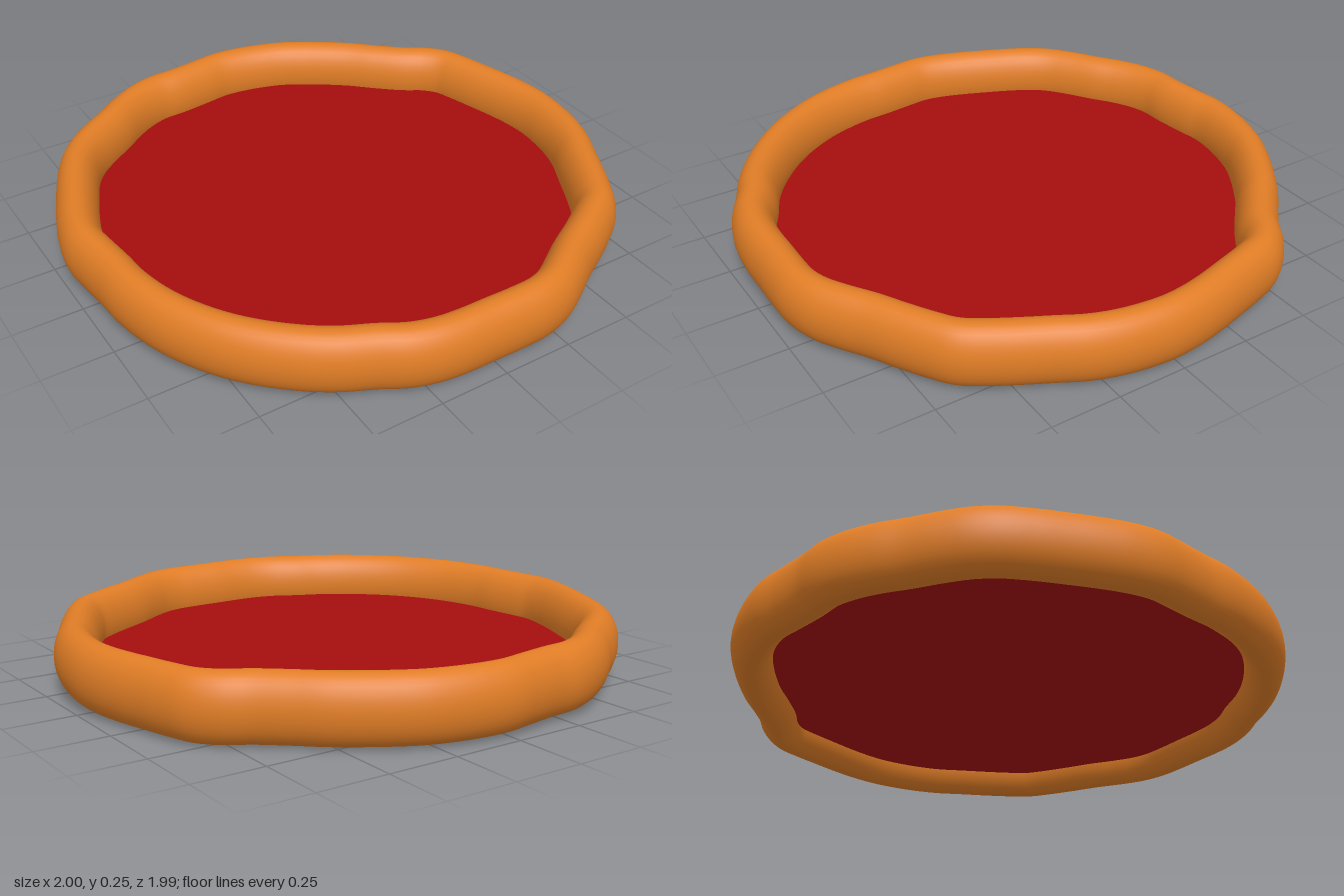
import * as THREE from 'three';

// Outer outline of the rim as x, z pairs, going round from the back
const OUTLINE = [
  [0, -1], [0.12, -0.99], [0.3, -0.94], [0.5, -0.82], [0.6, -0.74], [0.7, -0.645],
  [0.8, -0.58], [0.88, -0.49], [0.92, -0.38], [0.95, -0.27], [0.985, -0.13], [1, 0.01],
  [0.985, 0.16], [0.95, 0.29], [0.88, 0.43], [0.8, 0.58], [0.73, 0.68], [0.62, 0.76],
  [0.45, 0.86], [0.32, 0.945], [0.2, 0.985], [0, 0.99], [-0.2, 0.982], [-0.33, 0.945],
  [-0.42, 0.895], [-0.55, 0.83], [-0.7, 0.71], [-0.82, 0.57], [-0.92, 0.38], [-0.97, 0.18],
  [-0.98, 0.04], [-0.998, -0.1], [-0.975, -0.24], [-0.92, -0.39], [-0.86, -0.53], [-0.79, -0.65],
  [-0.7, -0.735], [-0.6, -0.805], [-0.5, -0.88], [-0.4, -0.935], [-0.3, -0.965], [-0.18, -0.973],
];
const HALF_WIDTH = 0.075;
const HALF_HEIGHT = 0.117;

// Centre line of the rim: the outline moved inwards by half the rim's width
function rimCurve() {
  const outer = new THREE.CatmullRomCurve3(
    OUTLINE.map(([x, z]) => new THREE.Vector3(x, 0, z)), true, 'centripetal');
  const points = [];
  for (let i = 0; i < 60; i++) {
    const p = outer.getPointAt(i / 60);
    const t = outer.getTangentAt(i / 60);
    points.push(new THREE.Vector3(p.x - t.z * HALF_WIDTH, 0, p.z + t.x * HALF_WIDTH));
  }
  return new THREE.CatmullRomCurve3(points, true, 'centripetal');
}

export function createModel() {
  const model = new THREE.Group();
  model.name = 'wavyRimmedDisc';
  const curve = rimCurve();

  // Wavy rim: a round tube stretched upwards into an oval section
  const rimGeometry = new THREE.TubeGeometry(curve, 240, HALF_WIDTH, 32, true);
  rimGeometry.scale(1, HALF_HEIGHT / HALF_WIDTH, 1);
  const rim = new THREE.Mesh(rimGeometry, new THREE.MeshStandardMaterial({ color: 0xe07d26 }));
  rim.name = 'rim';

  // Thin flat filling, its edge tucked inside the rim
  const shape = new THREE.Shape(
    curve.getSpacedPoints(160).slice(0, -1).map((p) => new THREE.Vector2(p.x, -p.z)));
  const fillingGeometry = new THREE.ShapeGeometry(shape).rotateX(-Math.PI / 2);
  const filling = new THREE.Mesh(fillingGeometry,
    new THREE.MeshStandardMaterial({ color: 0xa50d0d, side: THREE.DoubleSide }));
  filling.name = 'filling';
  filling.position.y = -0.04;

  // The whole piece leans very slightly to its left
  model.add(rim, filling);
  model.position.y = 0.125;
  model.rotation.z = -0.0075;
  return model;
}
